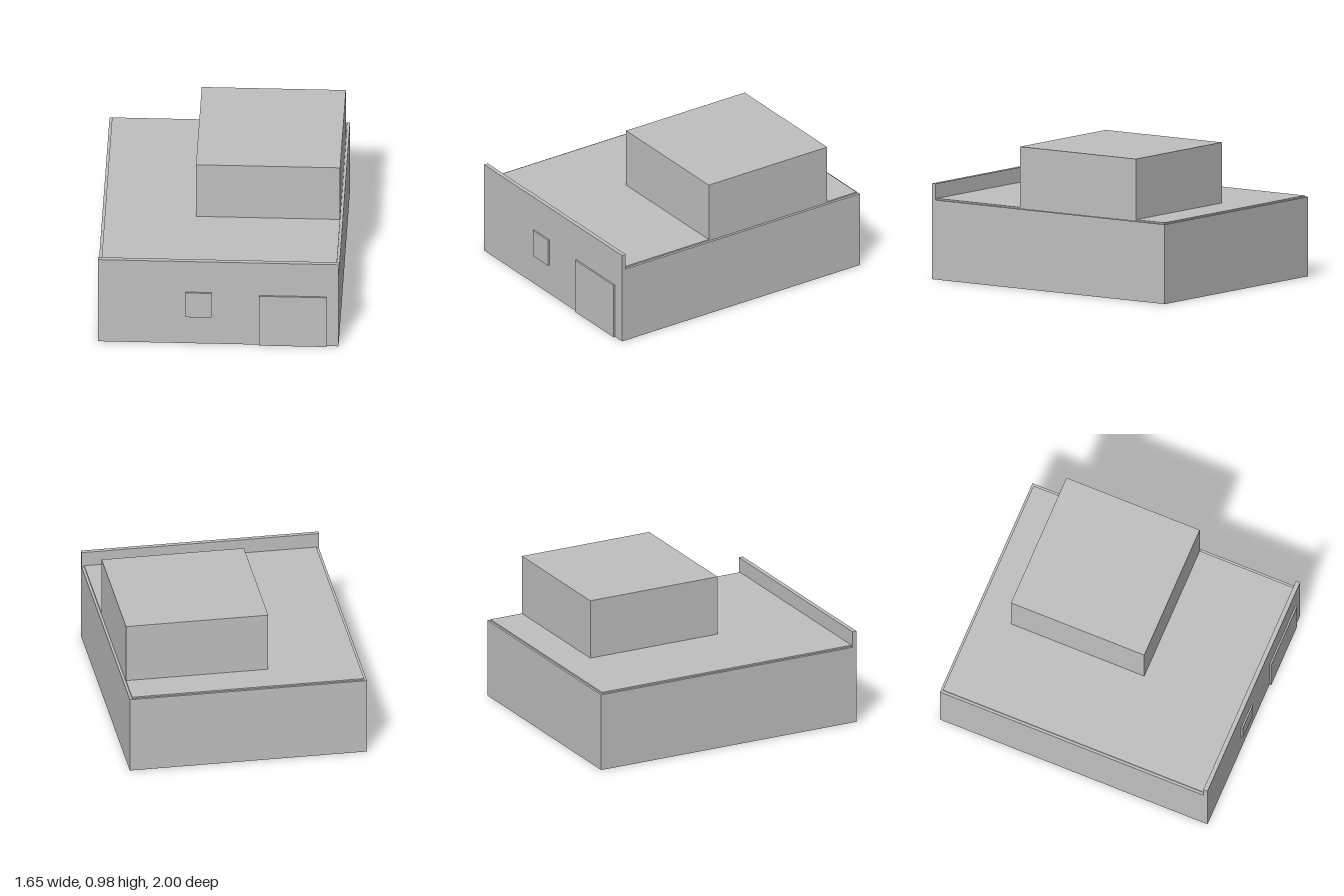
import * as THREE from 'three';

export function createModel() {
  const model = new THREE.Group();
  const plaster = new THREE.MeshStandardMaterial({ color: 0xbfbfbf });
  plaster.name = 'grey plaster';

  // Box given by its extents along each axis
  const block = (name, [x0, x1], [y0, y1], [z0, z1]) => {
    const mesh = new THREE.Mesh(new THREE.BoxGeometry(x1 - x0, y1 - y0, z1 - z0), plaster);
    mesh.position.set((x0 + x1) / 2, (y0 + y1) / 2, (z0 + z1) / 2);
    mesh.name = name;
    model.add(mesh);
  };

  // Ground floor and the taller front wall
  block('groundFloor', [-0.825, 0.825], [0, 0.55], [-1, 0.957]);
  block('frontWall', [-0.825, 0.825], [0, 0.663], [0.957, 0.988]);

  // Thin roof slab, slightly inset, with the upper storey on it
  block('roofSlab', [-0.807, 0.807], [0.55, 0.56], [-0.985, 0.957]);
  block('upperStorey', [-0.182, 0.807], [0.56, 0.98], [-0.74, 0.25]);

  // Raised panels on the front wall
  block('window', [-0.225, -0.045], [0.218, 0.415], [0.988, 1]);
  block('garageDoor', [0.279, 0.742], [0, 0.4], [0.988, 1]);

  return model;
}
